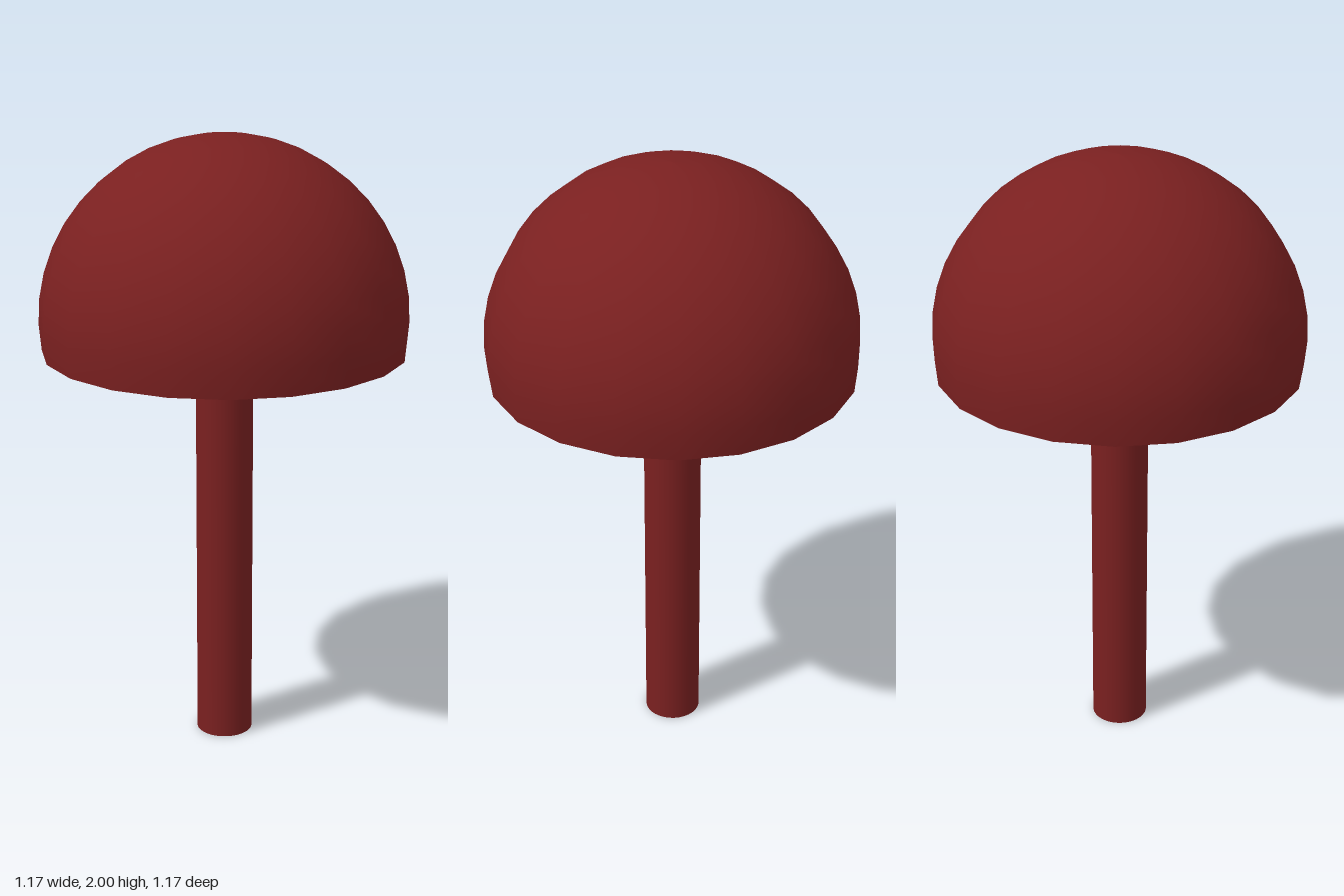
import * as THREE from 'three';

const material = new THREE.MeshStandardMaterial({ color: 0x7a2020, roughness: 0.8, side: THREE.DoubleSide });

// Smooth surface of revolution from [radius, height] points, outside on the right
function lathe(name, points, sides) {
  const profile = points.map(([r, y]) => new THREE.Vector2(r, y));
  const mesh = new THREE.Mesh(new THREE.LatheGeometry(profile, sides), material);
  mesh.name = name;
  return mesh;
}

export function createModel() {
  const group = new THREE.Group();
  group.name = 'mushroom';

  // Cap: a sphere cut a little below its equator
  const radius = 0.587, centerY = 2 - radius, rimY = 1.32;
  const startAngle = Math.asin((rimY - centerY) / radius);
  const dome = [];
  const steps = 12;
  for (let i = 0; i <= steps; i++) {
    const a = THREE.MathUtils.lerp(startAngle, Math.PI / 2, i / steps);
    dome.push([i === steps ? 0 : radius * Math.cos(a), centerY + radius * Math.sin(a)]);
  }
  group.add(lathe('cap', dome, 20));

  // Shallow hollow underside, sharing the cap's rim
  group.add(lathe('capUnderside', [
    [0, 1.47], [0.12, 1.46], [0.28, 1.425], [0.44, 1.375], dome[0],
  ], 20));

  // Stem flaring out where it meets the cap
  group.add(lathe('stem', [
    [0.092, 0], [0.092, 1.3], [0.094, 1.36], [0.103, 1.42], [0.122, 1.465],
  ], 32));

  // Flat foot of the stem
  const foot = new THREE.Mesh(new THREE.CircleGeometry(0.092, 32), material);
  foot.rotation.x = Math.PI / 2;
  foot.name = 'stemBase';
  group.add(foot);

  return group;
}
